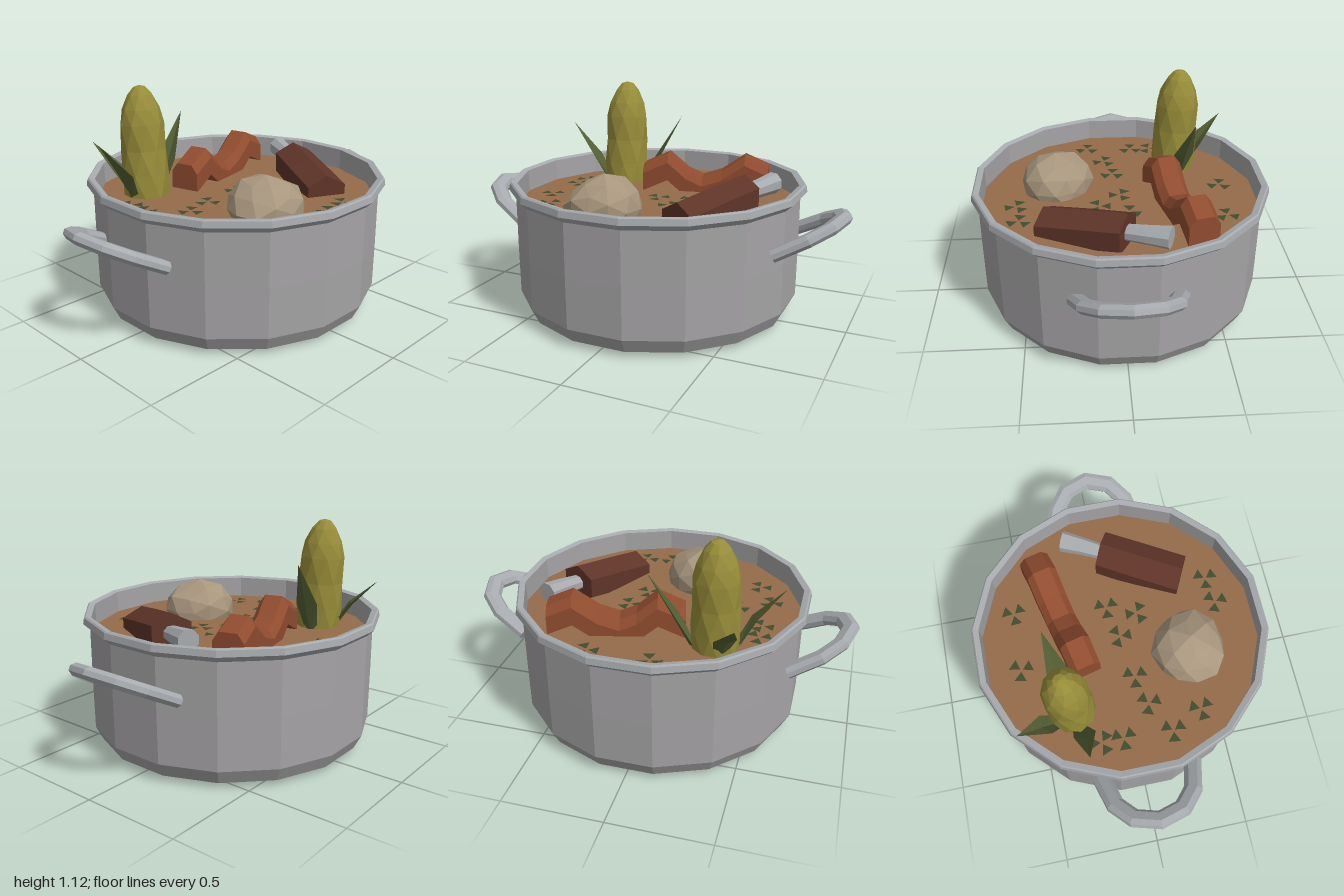
import * as THREE from 'three';

const V = (x, y, z) => new THREE.Vector3(x, y, z);
const UP = V(0, 1, 0);

function material(name, color, side = THREE.FrontSide) {
  const m = new THREE.MeshStandardMaterial({ color, side, flatShading: true });
  m.name = name;
  return m;
}

function add(parent, name, geometry, mat) {
  const mesh = new THREE.Mesh(geometry, mat);
  mesh.name = name;
  parent.add(mesh);
  return mesh;
}

function meshData(positions, index) {
  const g = new THREE.BufferGeometry();
  g.setAttribute('position', new THREE.Float32BufferAttribute(positions, 3));
  g.setIndex(index);
  const flat = g.toNonIndexed();
  flat.computeVertexNormals();
  return flat;
}

// Sixteen-sided turned shape; radii are measured to the flat sides.
function turned(profile) {
  const pts = profile.map(([r, y]) => new THREE.Vector2(r / Math.cos(Math.PI / 16), y));
  return new THREE.LatheGeometry(pts, 16, Math.PI / 16);
}

// Sweeps a counter-clockwise section [side, up] along a path, with end caps.
function sweep(path, section, scales = []) {
  const n = section.length, pos = [], idx = [];
  path.forEach((p, i) => {
    const t = path[Math.min(i + 1, path.length - 1)].clone().sub(path[Math.max(i - 1, 0)]);
    const side = UP.clone().cross(t).normalize();
    const s = scales[i] ?? 1;
    for (const [a, b] of section) {
      const q = p.clone().addScaledVector(side, a * s).addScaledVector(UP, b * s);
      pos.push(q.x, q.y, q.z);
    }
  });
  const last = (path.length - 1) * n;
  for (let i = 0; i < last; i += n) {
    for (let j = 0; j < n; j++) {
      const k = (j + 1) % n;
      idx.push(i + j, i + k, i + n + k, i + j, i + n + k, i + n + j);
    }
  }
  for (let j = 1; j < n - 1; j++) idx.push(0, j + 1, j, last, last + j, last + j + 1);
  return meshData(pos, idx);
}

const polygon = (n, rx, ry, turn = 0) => Array.from({ length: n }, (_, i) => {
  const a = turn + i / n * Math.PI * 2;
  return [Math.cos(a) * rx, Math.sin(a) * ry];
});

// Creased pointed leaf through base, middle and tip.
function leaf(base, mid, tip) {
  const side = UP.clone().cross(tip.clone().sub(base)).normalize();
  const out = side.clone().cross(UP).multiplyScalar(-0.025);
  const pts = [];
  for (const [p, w] of [[base, 0.03], [mid, 0.055]]) {
    pts.push(p.clone().addScaledVector(side, -w), p.clone().sub(out), p.clone().addScaledVector(side, w));
  }
  pts.push(tip);
  return meshData(pts.flatMap(p => p.toArray()),
    [0, 1, 4, 0, 4, 3, 1, 2, 5, 1, 5, 4, 3, 4, 6, 4, 5, 6]);
}

export function createModel() {
  const model = new THREE.Group();
  model.name = 'stewPot';
  const steel = material('steel', 0xa5a3a5);
  const trim = material('trim steel', 0xa7aaae);
  const scorched = material('scorched base', 0x241616);
  const broth = material('broth', 0x956b4b);
  const yellow = material('corn yellow', 0x988d3a);
  const green = material('leaf green', 0x545f34, THREE.DoubleSide);
  const herb = material('herb green', 0x414c2e, THREE.DoubleSide);
  const orange = material('red brown', 0x914c30);
  const dark = material('dark meat', 0x5f3429);
  const tan = material('potato tan', 0xa8967e);

  // Pot body, base and rim
  const pot = new THREE.Group();
  pot.name = 'pot';
  model.add(pot);
  add(pot, 'potBottom', turned([[0, 0], [0.605, 0]]), steel);
  add(pot, 'baseBand', turned([[0.605, 0], [0.672, 0.028]]), scorched);
  add(pot, 'potWall', turned([[0.672, 0.028], [0.708, 0.1], [0.71, 0.35], [0.71, 0.615]]), steel);
  add(pot, 'rim', turned([[0.71, 0.615], [0.742, 0.645], [0.737, 0.675], [0.73, 0.682],
    [0.702, 0.675]]), trim);
  add(pot, 'innerWall', turned([[0.702, 0.675], [0.7, 0.56]]), steel);
  add(model, 'brothSurface', turned([[0.702, 0.565], [0, 0.565]]), broth);

  // Pair of tilted loop handles
  const half = [[0, -0.235], [0.17, -0.195], [0.265, -0.12]];
  const loop = [...half, [0.305, 0], ...half.slice().reverse().map(([u, v]) => [u, -v])];
  const handleGeo = sweep(loop.map(([u, v]) => V(u, 0, v)),
    [[0.045, -0.012], [0.045, 0.012], [0.022, 0.03], [-0.022, 0.03],
      [-0.045, 0.012], [-0.045, -0.012], [-0.022, -0.03], [0.022, -0.03]]);
  for (const [name, turn] of [['leftHandle', 0], ['rightHandle', Math.PI]]) {
    const g = new THREE.Group();
    g.rotation.y = turn;
    pot.add(g);
    const h = add(g, name, handleGeo, trim);
    h.position.set(0.68, 0.425, 0);
    h.rotation.z = 0.49;
  }

  // Corn cob, twisted slightly from ring to ring
  const cobGeo = new THREE.LatheGeometry([[0.115, 0], [0.12, 0.12], [0.115, 0.25], [0.112, 0.38],
    [0.095, 0.455], [0.062, 0.525], [0.032, 0.56], [0, 0.57]].map(p => new THREE.Vector2(...p)), 9);
  const cp = cobGeo.attributes.position;
  for (let i = 0; i < cp.count; i++) {
    const v = V(0, 0, 0).fromBufferAttribute(cp, i);
    v.applyAxisAngle(UP, v.y * 2.5);
    cp.setXYZ(i, v.x, v.y, v.z);
  }
  const cob = add(model, 'cornCob', cobGeo, yellow);
  cob.position.set(-0.34, 0.55, -0.31);
  cob.rotation.x = -0.05;

  // Husk leaves
  [
    [V(-0.42, 0.55, -0.3), V(-0.5, 0.7, -0.275), V(-0.65, 0.88, -0.27)],
    [V(-0.25, 0.55, -0.33), V(-0.17, 0.71, -0.35), V(-0.03, 0.935, -0.385)],
    [V(-0.37, 0.55, -0.37), V(-0.41, 0.68, -0.45), V(-0.47, 0.81, -0.585)],
  ].forEach((p, i) => add(model, 'huskLeaf' + (i + 1), leaf(...p), green));

  // Wavy slice
  const wave = [[-0.17, 0.7], [-0.04, 0.762], [0.06, 0.675], [0.14, 0.64], [0.24, 0.675], [0.36, 0.762], [0.48, 0.71]];
  add(model, 'wavySlice', sweep(wave.map(([x, y]) => V(x, y, -0.21 - (x + 0.16) * 0.242)),
    [[0.078, -0.14], [0.078, -0.045], [0.045, 0], [-0.045, 0], [-0.078, -0.045], [-0.078, -0.14]]), orange);

  // Meat on the bone
  add(model, 'meat', sweep([V(0.265, 0.565, 0.385), V(0.36, 0.6, 0.19), V(0.46, 0.635, -0.01)],
    polygon(6, 0.118, 0.105, Math.PI / 6), [1, 1, 0.97]), dark);
  add(model, 'bone', sweep([V(0.45, 0.635, 0.02), V(0.51, 0.65, -0.1), V(0.555, 0.66, -0.2)],
    polygon(8, 0.055, 0.055, Math.PI / 8), [0.7, 0.85, 1]), trim);

  // Lumpy potato
  const lump = new THREE.IcosahedronGeometry(1, 1);
  const lp = lump.attributes.position;
  for (let i = 0; i < lp.count; i++) {
    const v = V(0, 0, 0).fromBufferAttribute(lp, i);
    v.multiplyScalar(1 + 0.07 * Math.sin(Math.round(v.x * 50) * 1.7 + Math.round(v.y * 50) * 2.3 + Math.round(v.z * 50) * 3.1));
    lp.setXYZ(i, v.x, v.y, v.z);
  }
  lump.computeVertexNormals();
  const potato = add(model, 'potato', lump, tan);
  potato.scale.set(0.195, 0.145, 0.188);
  potato.position.set(-0.135, 0.6, 0.33);

  // Floating three-leaved herbs
  const pos = [];
  for (let k = 0; k < 3; k++) {
    const a = k / 3 * Math.PI * 2;
    for (const [r, d] of [[0.008, 0], [0.064, -0.5], [0.064, 0.5]]) {
      pos.push(Math.sin(a + d) * r, 0, Math.cos(a + d) * r);
    }
  }
  const herbGeo = meshData(pos, [0, 1, 2, 3, 4, 5, 6, 7, 8]);
  [[-0.08, -0.53, 0.3], [0.23, -0.52, 0.6], [-0.53, -0.2, 0.9], [-0.53, -0.09, 0.5], [-0.54, 0.16, 0.4],
    [-0.38, 0.07, 0.2], [-0.46, 0.32, 0.6], [-0.23, 0.03, 0.4], [0, 0, 0], [0.17, -0.04, 0.5],
    [0.11, 0.11, 1], [0.09, 0.53, 0.2], [0.23, 0.51, 0.4]].forEach(([x, z, turn], i) => {
    const h = add(model, 'herb' + (i + 1), herbGeo, herb);
    h.position.set(x, 0.571, z);
    h.rotation.y = turn;
  });

  return model;
}
